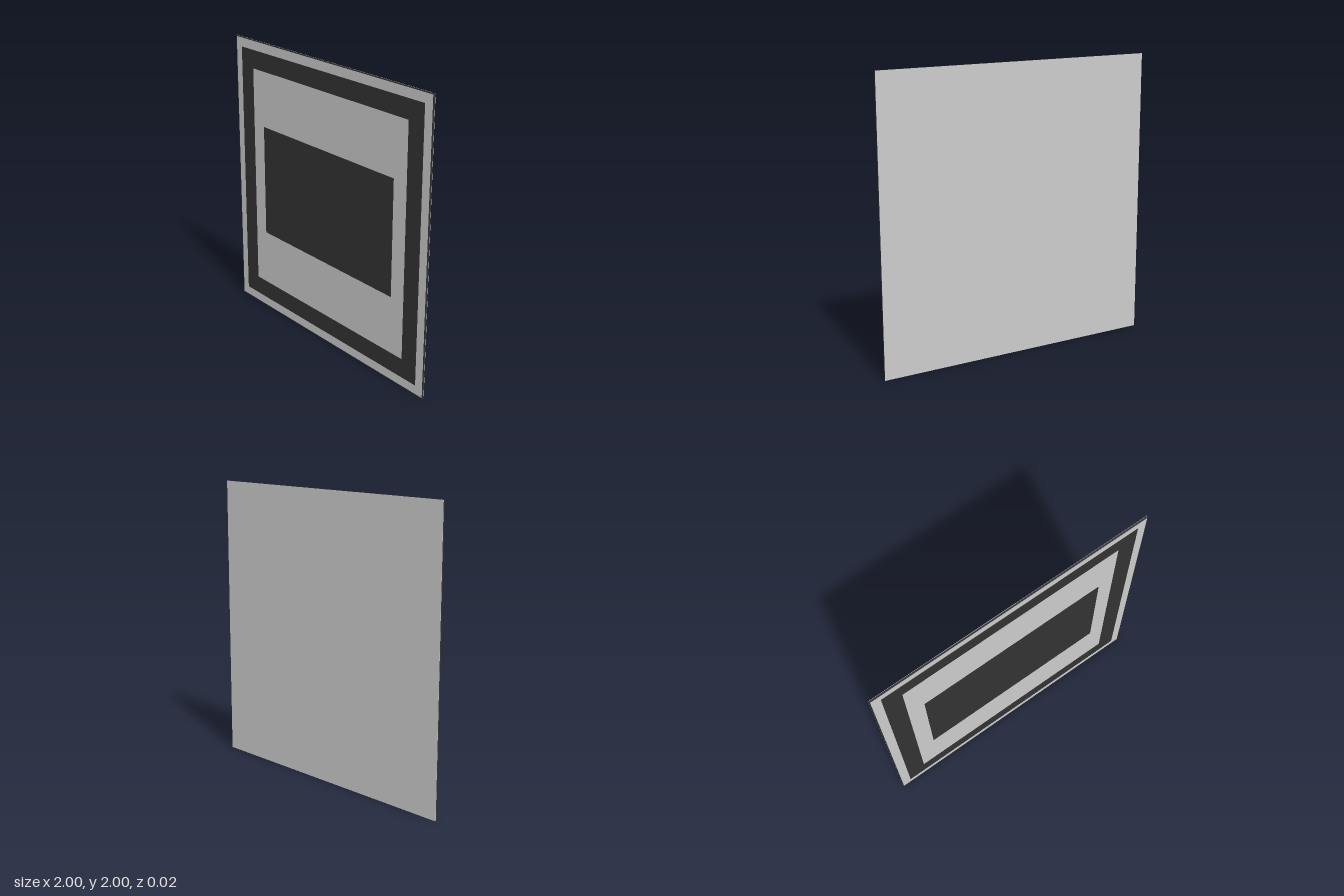
import * as THREE from 'three';

const grey = new THREE.MeshStandardMaterial({ color: 0xcccccc });
const dark = new THREE.MeshStandardMaterial({ color: 0x333333 });

function add(group, name, geometry, material, z) {
  const mesh = new THREE.Mesh(geometry, material);
  mesh.name = name;
  mesh.position.set(0, 1, z);
  group.add(mesh);
}

// Square ring, extruded forward from z = 0
function ring(outer, inner, depth) {
  const square = (Type, h) => new Type([[-h, -h], [h, -h], [h, h], [-h, h]].map(([x, y]) => new THREE.Vector2(x, y)));
  const shape = square(THREE.Shape, outer);
  shape.holes.push(square(THREE.Path, inner));
  return new THREE.ExtrudeGeometry(shape, { depth, bevelEnabled: false });
}

export function createModel() {
  const sign = new THREE.Group();
  sign.name = 'signPlate';

  // Thin square plate with a fine dark rim
  add(sign, 'plate', new THREE.BoxGeometry(1.988, 2 - 0.012, 0.012), grey, -0.002);
  add(sign, 'backSheet', new THREE.BoxGeometry(2, 2, 0.002), grey, -0.007);
  add(sign, 'rim', ring(1, 0.994, 0.01), dark, -0.006);

  // Raised square border
  add(sign, 'border', ring(0.93, 0.8, 0.003), dark, 0.004);

  // Raised rectangular panel in the middle
  add(sign, 'centrePanel', new THREE.BoxGeometry(1.36, 0.8, 0.004), dark, 0.006);

  return sign;
}
